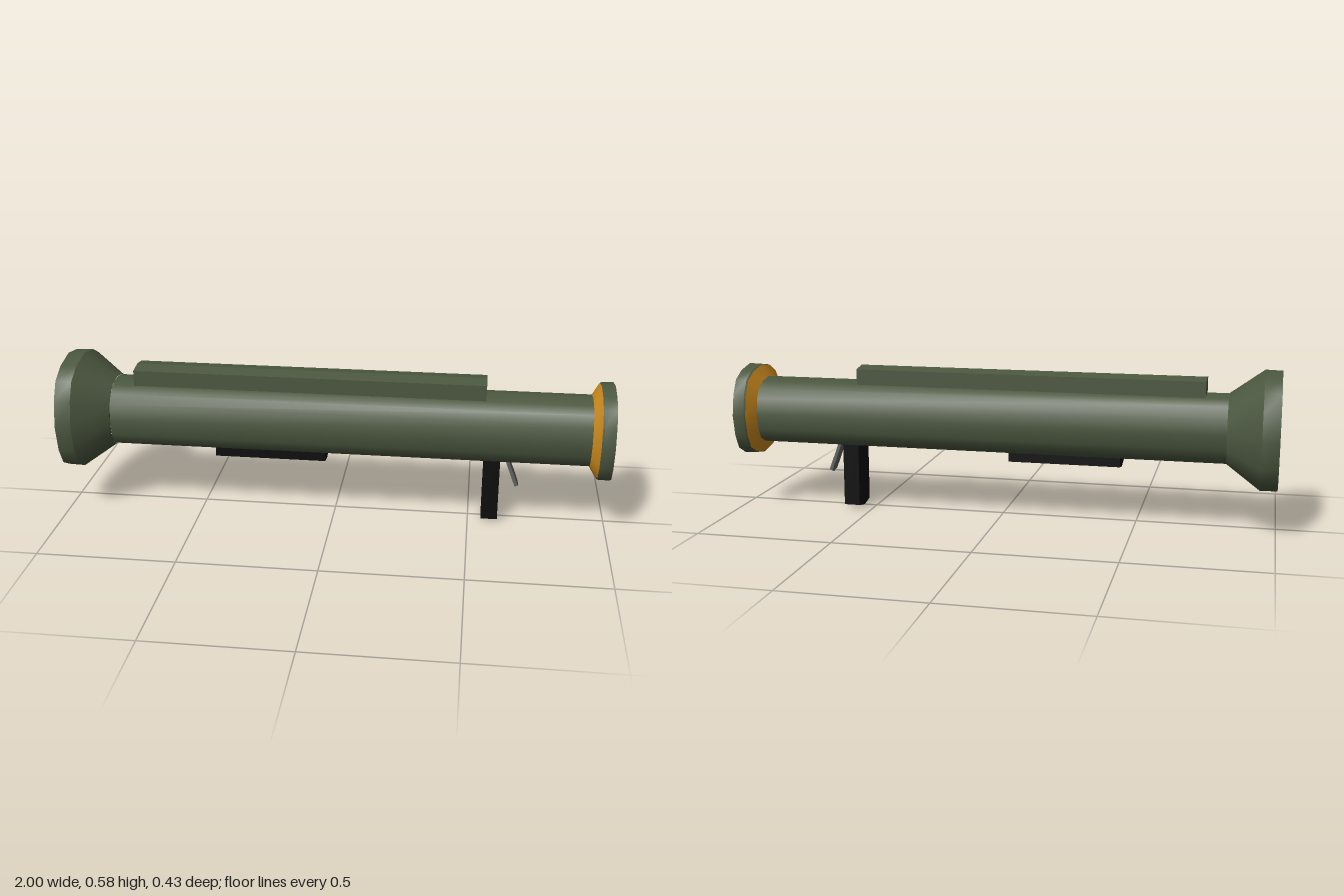
import * as THREE from 'three';

const AXIS_Y = 0.362;
const paint = (name, color, side = THREE.FrontSide) => {
  const m = new THREE.MeshStandardMaterial({ color, side });
  m.name = name;
  return m;
};

// Rounded-square cross-section of unit radius, as [y, z] pairs
function section(sides) {
  const quarter = [[1, 0], [0.915, 0.455], [0.752, 0.752], [0.455, 0.915]];
  const ring = [];
  for (let q = 0; q < 4; q++) {
    const c = [1, 0, -1, 0][q], s = [0, 1, 0, -1][q];
    quarter.forEach(([y, z]) => ring.push([y * c - z * s, y * s + z * c]));
  }
  return ring.filter((_, i) => i % (16 / sides) === 0);
}

// Skin along x through [x, radius] stations; each band is smooth around, creased at its ends
function loft(stations, sides = 16) {
  const ring = section(sides), pos = [], index = [];
  for (let k = 0; k < stations.length - 1; k++) {
    const base = pos.length / 3;
    for (const [x, r] of [stations[k], stations[k + 1]]) {
      ring.forEach(([y, z]) => pos.push(x, y * r, z * r));
    }
    for (let i = 0; i < sides; i++) {
      const a = base + i, b = base + (i + 1) % sides;
      index.push(a, b, a + sides, b, b + sides, a + sides);
    }
  }
  const g = new THREE.BufferGeometry();
  g.setAttribute('position', new THREE.Float32BufferAttribute(pos, 3));
  g.setIndex(index);
  g.computeVertexNormals();
  return g.translate(0, AXIS_Y, 0);
}

// Bar along x whose [z, y] outline has a shallow ridge at the y = tip end
function ridgedBar(x0, x1, halfWidth, flat, shoulder, tip) {
  const s = new THREE.Shape();
  s.moveTo(-halfWidth, flat);
  s.lineTo(halfWidth, flat);
  s.lineTo(halfWidth, shoulder);
  s.lineTo(0, tip);
  s.lineTo(-halfWidth, shoulder);
  s.closePath();
  const g = new THREE.ExtrudeGeometry(s, { depth: x1 - x0, bevelEnabled: false });
  return g.rotateY(Math.PI / 2).translate(x0, 0, 0);
}

export function createModel() {
  const green = paint('olive green', 0x4c5840);
  const black = paint('black', 0x0d0d0d, THREE.DoubleSide);
  const orange = paint('orange', 0xd08c1e);
  const red = paint('red', 0xd01010);
  const grey = paint('grey', 0x636363);

  const model = new THREE.Group();
  model.name = 'launcher';
  const add = (name, geometry, material) => {
    const mesh = new THREE.Mesh(geometry, material);
    mesh.name = name;
    model.add(mesh);
    return mesh;
  };

  // Tube with flared ends
  add('rearBell', loft([[-0.9, 0.056], [-1, 0.214], [-0.94, 0.216], [-0.82, 0.128]]), green);
  add('mainTube', loft([[-0.82, 0.127], [0.925, 0.127]]), green);
  add('muzzleBand', loft([[0.925, 0.127], [0.952, 0.17]]), orange);
  add('muzzleRing', loft([[0.952, 0.17], [0.958, 0.173], [1, 0.174], [0.935, 0.056]]), green);

  // Dark bores, closed inside, and the round seen down the front one
  add('frontBore', loft([[0.938, 0.062], [0.75, 0.062], [0.75, 0]], 8), black);
  add('rearBore', loft([[-0.75, 0], [-0.75, 0.062], [-0.905, 0.062]], 8), black);
  add('roundTip', loft([[0.75, 0.032], [0.756, 0.032], [0.756, 0]], 8), red);

  // Parts mounted along the tube
  add('topRail', ridgedBar(-0.74, 0.548, 0.058, 0.46, 0.536, 0.545), green);
  add('shoulderPad', ridgedBar(-0.443, -0.032, 0.058, 0.26, 0.213, 0.203), black);
  add('grip', ridgedBar(0.549, 0.609, 0.058, 0.26, 0.012, 0), black);

  // Trigger, swung forward
  const trigger = add('trigger', ridgedBar(-0.006, 0.006, 0.027, 0.02, -0.102, -0.112), grey);
  trigger.position.set(0.637, 0.232, 0);
  trigger.rotation.z = 0.36;
  return model;
}
